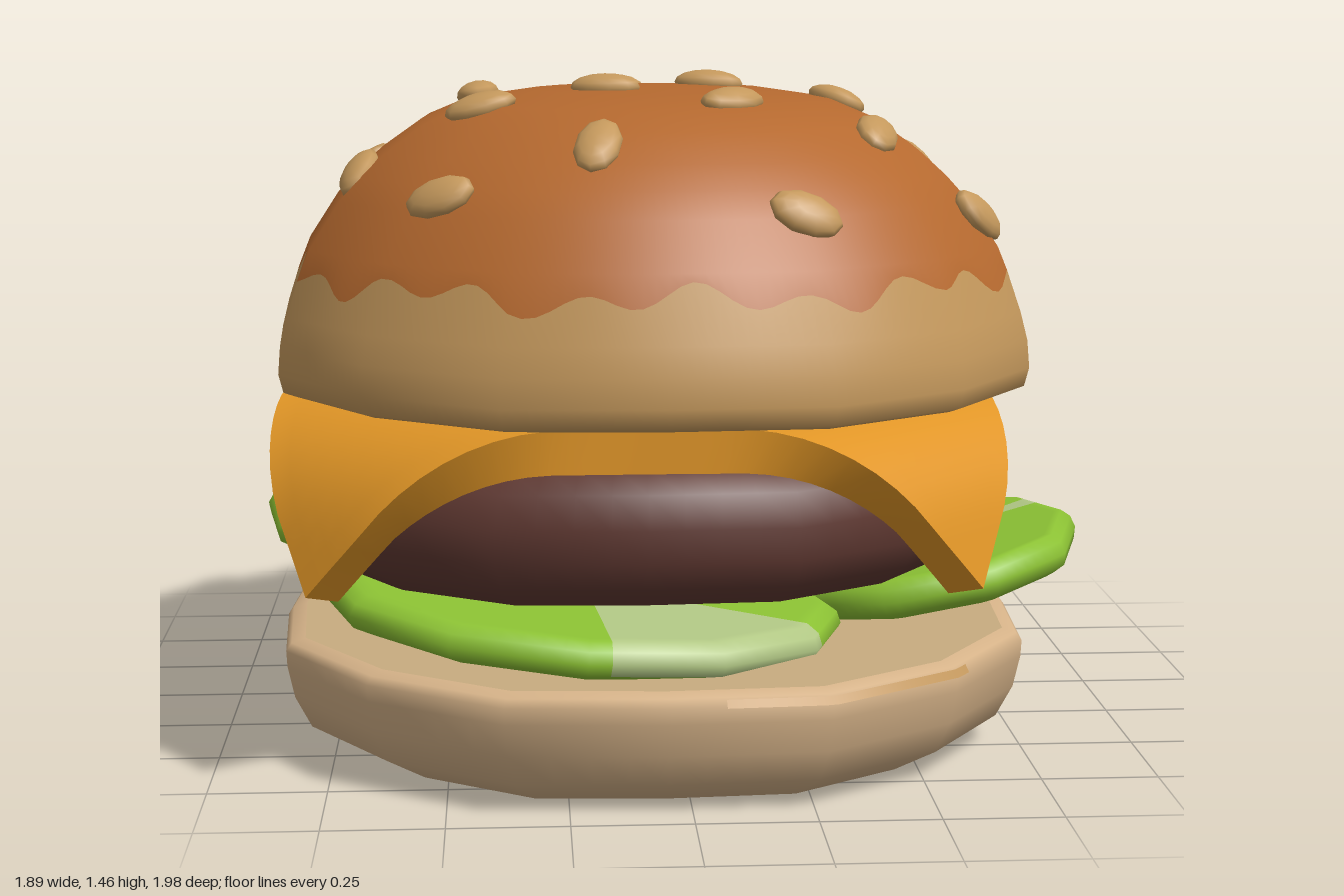
import * as THREE from 'three';

const mat = (name, color) => {
  const m = new THREE.MeshStandardMaterial({ color });
  m.name = name;
  return m;
};
const V2 = (list) => list.map(([r, y]) => new THREE.Vector2(r, y));

// Radius factor of a polygon outline; bulge pushes out every corner except those on the axes
function outline(phi, sides, phase = 0, bulge = 0) {
  const step = (2 * Math.PI) / sides;
  const t = (phi - phase) / step + sides * 2;
  const k = Math.floor(t + 1e-6), m = (t - k) * step;
  const corner = (i) => (i % 4 === 0 ? 1 : 1 + bulge);
  const a = corner(k), b = corner(k + 1);
  return (a * b * Math.sin(step)) / (a * Math.sin(m) + b * Math.sin(step - m));
}
const bunOutline = (phi) => outline(phi, 16, 0, 0.055);

// Lathe reshaped to an outline, keeping smooth normals
function shapedLathe(points, segments, factor, start = 0, length = Math.PI * 2) {
  const geo = new THREE.LatheGeometry(V2(points), segments, start, length);
  const p = geo.attributes.position;
  for (let i = 0; i < p.count; i++) {
    const f = factor(Math.atan2(p.getX(i), p.getZ(i)));
    p.setXYZ(i, p.getX(i) * f, p.getY(i), p.getZ(i) * f);
  }
  return geo;
}

// Top bun outline: [radius, height]
const dome = [[0.79, 0.79], [0.815, 0.8], [0.825, 0.84], [0.82, 0.9], [0.795, 1.0], [0.755, 1.1], [0.69, 1.2],
  [0.645, 1.25], [0.59, 1.3], [0.505, 1.36], [0.41, 1.4], [0.25, 1.425], [0, 1.435]];
const radiusAt = (y) => {
  const i = dome.findIndex((d) => d[1] >= y), a = dome[i - 1], b = dome[i];
  return a[0] + ((b[0] - a[0]) * (y - a[1])) / (b[1] - a[1]);
};
const heightAt = (r) => {
  const i = dome.findIndex((d, k) => k > 3 && d[0] <= r), a = dome[i - 1], b = dome[i];
  return a[1] + ((b[1] - a[1]) * (a[0] - r)) / (a[0] - b[0]);
};

// Part of the top bun whose seam row follows a wavy browned edge
const SEAM = 1.048;
function bunShell(points) {
  const geo = shapedLathe(points, 192, bunOutline);
  const p = geo.attributes.position;
  for (let i = 0; i < p.count; i++) {
    if (Math.abs(p.getY(i) - SEAM) > 1e-4) continue;
    const phi = Math.atan2(p.getX(i), p.getZ(i));
    const y = SEAM + 0.021 * Math.sin(22 * phi) + 0.015 * Math.sin(9 * phi + 1);
    const r = radiusAt(y) * bunOutline(phi);
    p.setXYZ(i, Math.sin(phi) * r, y, Math.cos(phi) * r);
  }
  return geo;
}

// Square cheese sheet whose corners fold down along the diagonals
function cheeseGeometry() {
  const geo = new THREE.BoxGeometry(2, 0.09, 2, 32, 1, 32);
  const p = geo.attributes.position;
  const R = 0.24, bend = 1.3, fold = 0.66;
  for (let i = 0; i < p.count; i++) {
    const u = p.getX(i), v = p.getZ(i), h = p.getY(i);
    let x = Math.abs(u) * (0.755 + 0.035 * v * v), z = Math.abs(v) * (0.755 + 0.035 * u * u), y = h;
    const s = (x + z) / Math.SQRT2, t = s - fold;
    if (t > 0) {
      const a = Math.min(t / R, bend), rest = Math.max(0, t - R * bend);
      const out = R * Math.sin(a) + rest * Math.cos(a) + h * Math.sin(a);
      y = -R * (1 - Math.cos(a)) - rest * Math.sin(a) + h * Math.cos(a);
      const shift = (out - t) / Math.SQRT2;
      x += shift;
      z += shift;
    }
    p.setXYZ(i, Math.sign(u) * x, y, Math.sign(v) * z);
  }
  geo.computeVertexNormals();
  return geo;
}

// Chamfered polygon slice; sectors (degrees from +z towards +x) are painted pale on top and rim
function sliceGeometry({ t, r, sides, phase, yaw, sectors }) {
  const h = t / 2, n = 72;
  const profile = [[0, -h], [0.9, -h], [0.98, -h * 0.6], [1, 0], [0.98, h * 0.6], [0.93, h], [0.88, h], [0, h]];
  const geo = shapedLathe(profile, n, (phi) => outline(phi, sides, phase));
  geo.scale(r[0], 1, r[1]).rotateY(yaw);
  const rows = profile.length - 1;
  for (let i = 0; i < n; i++) {
    const deg = ((i + 0.5) * 360) / n;
    const pale = sectors.some(([a, b]) => deg > a && deg < b);
    geo.addGroup(i * rows * 6, 12, 0);
    geo.addGroup(i * rows * 6 + 12, (rows - 2) * 6, pale ? 1 : 0);
  }
  return geo;
}

export function createModel() {
  const model = new THREE.Group();
  model.name = 'burger';
  const brown = mat('toasted bun', 0xb5692f);
  const crust = mat('light crust', 0xc4985c);
  const base = mat('bottom bun', 0xd5b288);
  const cream = mat('bun crumb', 0xc8ac80);
  const seedMat = mat('sesame', 0xc4985c);
  const cheeseMat = mat('cheese', 0xe09526);
  const meat = mat('patty', 0x5f3831);
  const green = mat('slice green', 0x8cc234);
  const pale = mat('slice pale', 0xb2c885);

  const add = (name, geo, material, parent = model) => {
    const mesh = new THREE.Mesh(geo, material);
    mesh.name = name;
    parent.add(mesh);
    return mesh;
  };

  // Buns share one off-centre axis
  const buns = new THREE.Group();
  buns.name = 'buns';
  buns.position.set(-0.05, 0, 0.165);
  model.add(buns);
  add('bottomBun', shapedLathe([[0, 0], [0.67, 0], [0.77, 0.06], [0.805, 0.13], [0.82, 0.2],
    [0.822, 0.235], [0.81, 0.252], [0.78, 0.26]], 64, bunOutline), base, buns);
  add('bottomBunCrumb', shapedLathe([[0.78, 0.26], [0, 0.26]], 64, bunOutline), cream, buns);
  [[0.14, 0.7], [3.1, 0.17], [4.08, 0.47]].forEach(([start, length]) =>
    add('toastMark', shapedLathe([[0.826, 0.233], [0.817, 0.249]], 24, bunOutline, start, length), crust, buns));

  add('topBunUnderside', shapedLathe([[0, 0.79], [0.79, 0.79]], 64, bunOutline), cream, buns);
  add('topBunCrust', bunShell([...dome.slice(0, 4), [radiusAt(0.96), 0.96], [radiusAt(SEAM), SEAM]]), crust, buns);
  add('topBunDome', bunShell([[radiusAt(SEAM), SEAM], ...dome.slice(5)]), brown, buns);

  // Sesame seeds: x, z, turn in degrees
  const seeds = [[-0.28, -0.52, 0], [0, -0.44, 105], [-0.45, -0.32, 50], [-0.12, -0.2, 15], [0.32, -0.27, 25],
    [0.59, -0.11, 20], [-0.69, -0.13, -20], [-0.43, 0.04, 92], [0.09, 0.08, -20], [0.38, 0.08, -50],
    [-0.15, 0.27, -20], [-0.68, 0.36, 60], [-0.42, 0.4, -8], [0.11, 0.49, 40], [0.42, 0.46, 85],
    [0.64, 0.46, 10], [-0.5, 0.69, -10], [-0.18, 0.7, 75], [0.23, 0.83, -15]];
  const seedGeo = new THREE.SphereGeometry(1, 10, 8);
  for (const [sx, sz, deg] of seeds) {
    const x = sx - buns.position.x, z = sz - buns.position.z;
    const phi = Math.atan2(x, z), r = Math.hypot(x, z) / bunOutline(phi);
    const slope = (heightAt(Math.max(0, r - 0.03)) - heightAt(r + 0.03)) / 0.06;
    const n = new THREE.Vector3(Math.sin(phi) * slope, 1, Math.cos(phi) * slope).normalize();
    const a = THREE.MathUtils.degToRad(deg);
    const long = new THREE.Vector3(Math.cos(a), 0, -Math.sin(a));
    long.addScaledVector(n, -long.dot(n)).normalize();
    const side = new THREE.Vector3().crossVectors(long, n);
    const seed = add('sesameSeed', seedGeo, seedMat, buns);
    seed.quaternion.setFromRotationMatrix(new THREE.Matrix4().makeBasis(long, n, side));
    seed.position.set(x, heightAt(r), z).addScaledVector(n, 0.004);
    seed.scale.set(0.08, 0.03, 0.05);
  }

  // Patty
  const patty = add('patty', shapedLathe([[0, 0.38], [0.6, 0.38], [0.68, 0.395], [0.74, 0.44],
    [0.772, 0.5], [0.775, 0.57], [0.755, 0.64], [0.7, 0.685], [0.6, 0.7], [0, 0.7]], 64, bunOutline), meat);
  patty.position.set(-0.085, 0, 0.135);
  patty.scale.z = 0.94;

  // Cheese
  add('cheese', cheeseGeometry(), cheeseMat).position.set(-0.09, 0.745, 0.17);

  // Pickle slices fanned out around the bottom bun
  const turn = Math.PI / 12;
  const slices = [
    { name: 'backSlice', at: [0.315, 0.35, -0.52], r: [0.385, 0.495], rot: [0.16, 0], t: 0.09, sides: 12, phase: turn, yaw: 0, sectors: [[35, 55], [215, 220]] },
    { name: 'leftSlice', at: [0.57, 0.345, 0.15], r: [0.375, 0.385], rot: [0, 0.18], t: 0.09, sides: 10, phase: Math.PI / 10, yaw: 0, sectors: [[110, 120]] },
    { name: 'rightSlice', at: [-0.47, 0.34, -0.29], r: [0.53, 0.44], rot: [0.05, -0.15], t: 0.09, sides: 12, phase: turn, yaw: Math.PI / 4, sectors: [[100, 158]] },
    { name: 'frontSlice', at: [-0.21, 0.32, 0.45], r: [0.57, 0.465], rot: [0.03, -0.09], t: 0.085, sides: 12, phase: 0, yaw: 0, sectors: [[5, 65]] },
  ];
  for (const s of slices) {
    const slice = add(s.name, sliceGeometry(s), [green, pale]);
    slice.position.set(...s.at);
    slice.rotation.set(s.rot[0], 0, s.rot[1]);
  }
  return model;
}
